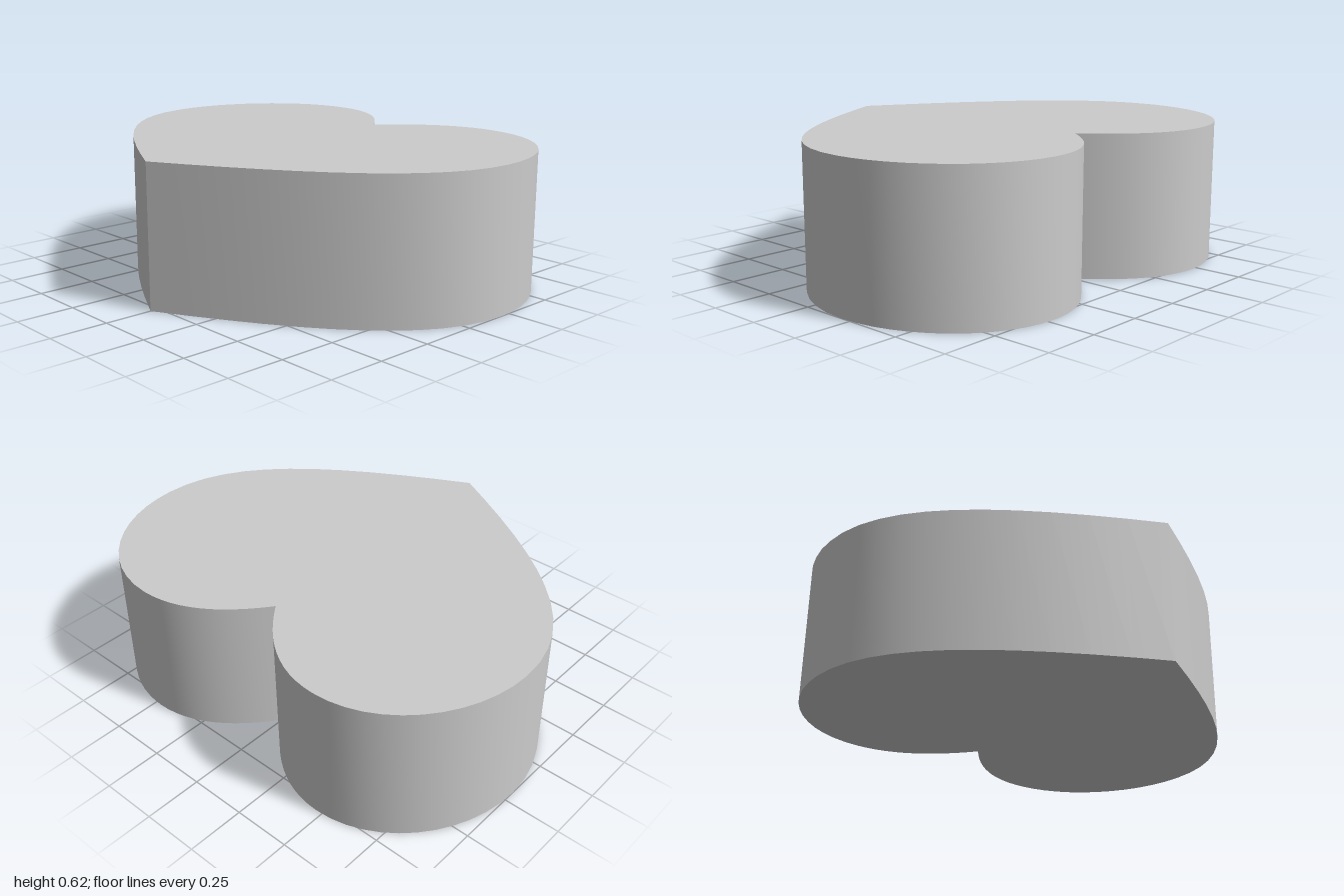
import * as THREE from 'three';
import { toCreasedNormals } from 'three/addons/utils/BufferGeometryUtils.js';

const HEIGHT = 0.617;

// Heart outline: tip towards the front, notch between the lobes at the back
function heartShape() {
  const s = new THREE.Shape();
  s.moveTo(0, -0.79);
  // left half, from the tip to the notch
  s.bezierCurveTo(0.62, -0.47, 1, -0.2, 1, 0.2);
  s.bezierCurveTo(1, 0.52, 0.76, 0.79, 0.47, 0.79);
  s.bezierCurveTo(0.28, 0.79, 0.13, 0.68, 0, 0.505);
  // right half, mirrored back to the tip
  s.bezierCurveTo(-0.13, 0.68, -0.28, 0.79, -0.47, 0.79);
  s.bezierCurveTo(-0.76, 0.79, -1, 0.52, -1, 0.2);
  s.bezierCurveTo(-1, -0.2, -0.62, -0.47, 0, -0.79);
  return s;
}

export function createModel() {
  const group = new THREE.Group();
  group.name = 'heart';

  // Solid block, laid flat, with smooth walls and sharp rims
  const block = new THREE.ExtrudeGeometry(heartShape(), {
    depth: HEIGHT, bevelEnabled: false, curveSegments: 12,
  });
  block.rotateX(-Math.PI / 2);

  const mesh = new THREE.Mesh(
    toCreasedNormals(block, 0.6),
    new THREE.MeshStandardMaterial({ color: 0xcccccc }),
  );
  mesh.name = 'heartBlock';
  group.add(mesh);
  return group;
}
